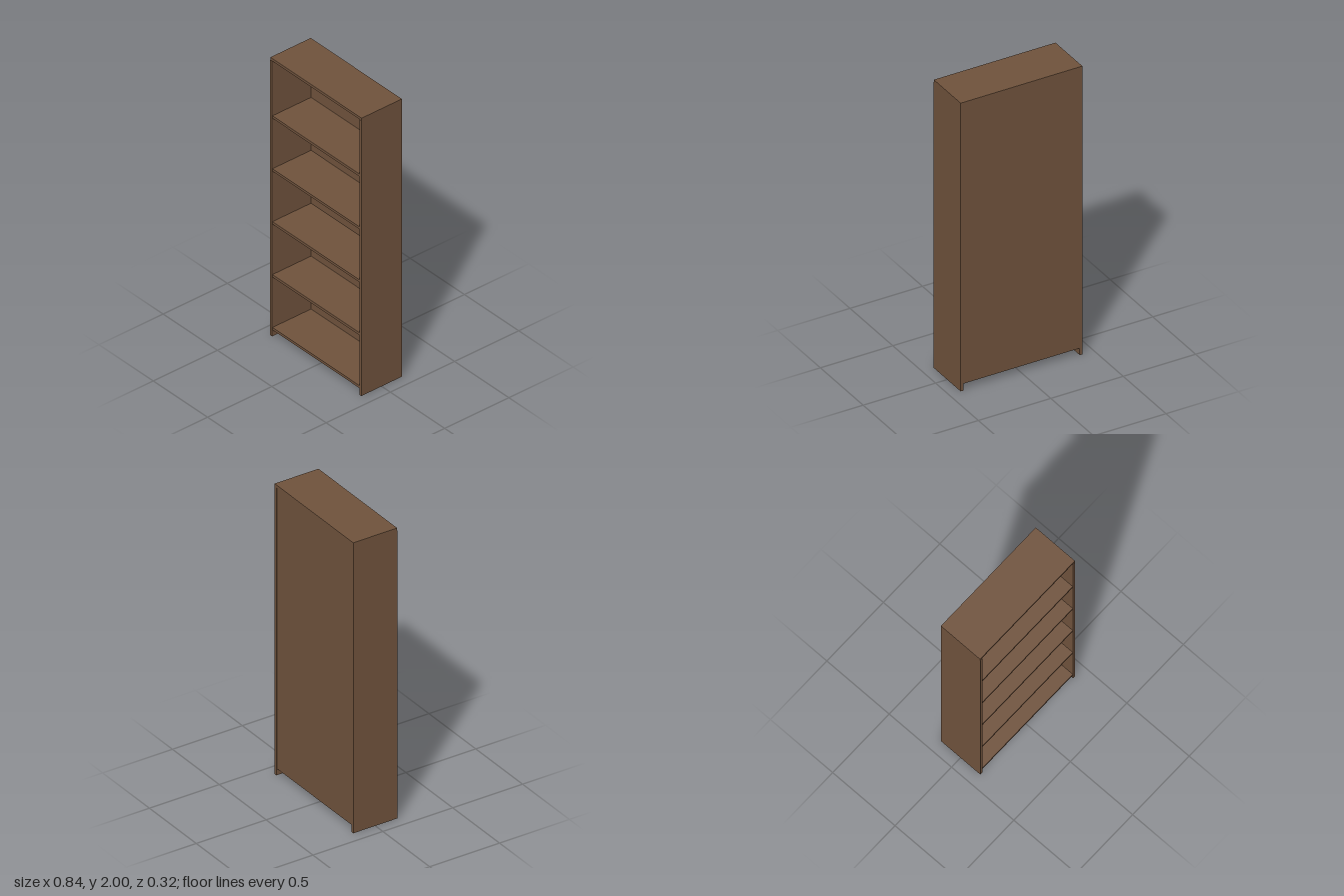
import * as THREE from 'three';

const wood = new THREE.MeshStandardMaterial({ color: 0x6f523c });
const WIDTH = 0.84, HEIGHT = 2, DEPTH = 0.316, BOARD = 0.018;
const INNER = WIDTH - 2 * BOARD;

// Board given by its size and centre
function board(name, w, h, d, x, y, z) {
  const mesh = new THREE.Mesh(new THREE.BoxGeometry(w, h, d), wood);
  mesh.name = name;
  mesh.position.set(x, y, z);
  return mesh;
}

export function createModel() {
  const bookcase = new THREE.Group();
  bookcase.name = 'bookcase';

  // Side panels run down to the floor, under the top board
  for (const s of [-1, 1]) {
    bookcase.add(board(s > 0 ? 'leftSide' : 'rightSide',
      BOARD, HEIGHT - BOARD, DEPTH, s * (WIDTH - BOARD) / 2, (HEIGHT - BOARD) / 2, 0));
  }

  // Top board, set back a hair at the front
  bookcase.add(board('topBoard', WIDTH, BOARD, DEPTH - 0.002, 0, HEIGHT - BOARD / 2, -0.001));

  // Thin back panel between the sides, just inside the rear edge
  const bottom = 0.045, backTop = HEIGHT - BOARD, backThickness = 0.008;
  const backZ = -DEPTH / 2 + 0.004 + backThickness / 2;
  bookcase.add(board('backPanel', INNER, backTop - bottom, backThickness,
    0, (backTop + bottom) / 2, backZ));

  // Five evenly spaced shelves, the lowest raised above the floor
  const shelfBack = backZ + backThickness / 2, shelfFront = DEPTH / 2 - 0.003;
  for (let i = 0; i < 5; i++) {
    bookcase.add(board(i ? `shelf${i}` : 'bottomShelf', INNER, BOARD, shelfFront - shelfBack,
      0, bottom + BOARD / 2 + i * 0.381, (shelfFront + shelfBack) / 2));
  }
  return bookcase;
}
